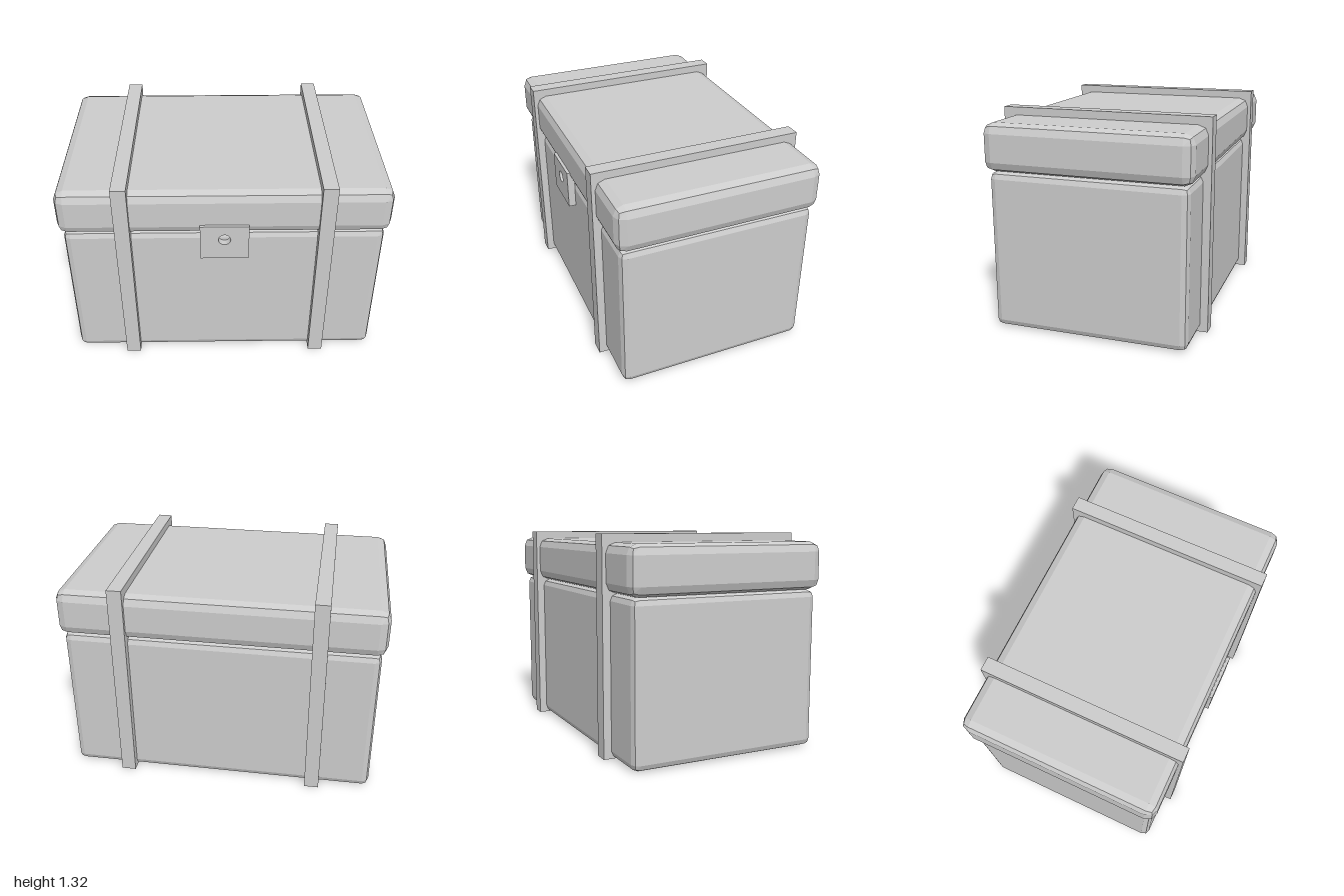
import * as THREE from 'three';
import { RoundedBoxGeometry } from 'three/addons/geometries/RoundedBoxGeometry.js';

export function createModel() {
  const group = new THREE.Group();
  const grey = new THREE.MeshStandardMaterial({ color: 0xcccccc, flatShading: true });
  grey.name = 'plainGrey';

  const add = (name, geometry, x, y, z) => {
    const mesh = new THREE.Mesh(geometry, grey);
    mesh.name = name;
    mesh.position.set(x, y, z);
    group.add(mesh);
    return mesh;
  };

  // Box with two-facet bevelled edges, placed between two heights
  const bevelBox = (name, w, y0, y1, d, r) =>
    add(name, new RoundedBoxGeometry(w, y1 - y0, d, 1, r), 0, (y0 + y1) / 2, 0);

  bevelBox('chestBody', 1.945, 0.004, 0.976, 1.215, 0.042);
  bevelBox('lid', 2, 0.978, 1.267, 1.266, 0.06);

  // Straps: square-cornered arches over the chest, open underneath
  const half = 0.656, top = 1.316, thick = 0.09, width = 0.091;
  const arch = new THREE.Shape([
    [-half, 0], [-half + thick, 0], [-half + thick, top - thick], [half - thick, top - thick],
    [half - thick, 0], [half, 0], [half, top], [-half, top],
  ].map(([x, y]) => new THREE.Vector2(x, y)));
  const strap = new THREE.ExtrudeGeometry(arch, { depth: width, bevelEnabled: false });
  strap.translate(0, 0, -width / 2).rotateY(Math.PI / 2);
  add('leftStrap', strap, 0.609, 0, 0);
  add('rightStrap', strap, -0.609, 0, 0);

  // Latch plate with a round keyhole, bridging lid and body
  const plate = new THREE.Shape([
    [-0.147, 0.81], [0.147, 0.81], [0.147, 1.05], [-0.147, 1.05],
  ].map(([x, y]) => new THREE.Vector2(x, y)));
  plate.holes.push(new THREE.Path().absarc(0, 0.952, 0.037, 0, Math.PI * 2, true));
  add('latch', new THREE.ExtrudeGeometry(plate, { depth: 0.046, bevelEnabled: false, curveSegments: 12 }), 0, 0, 0.606);

  return group;
}
